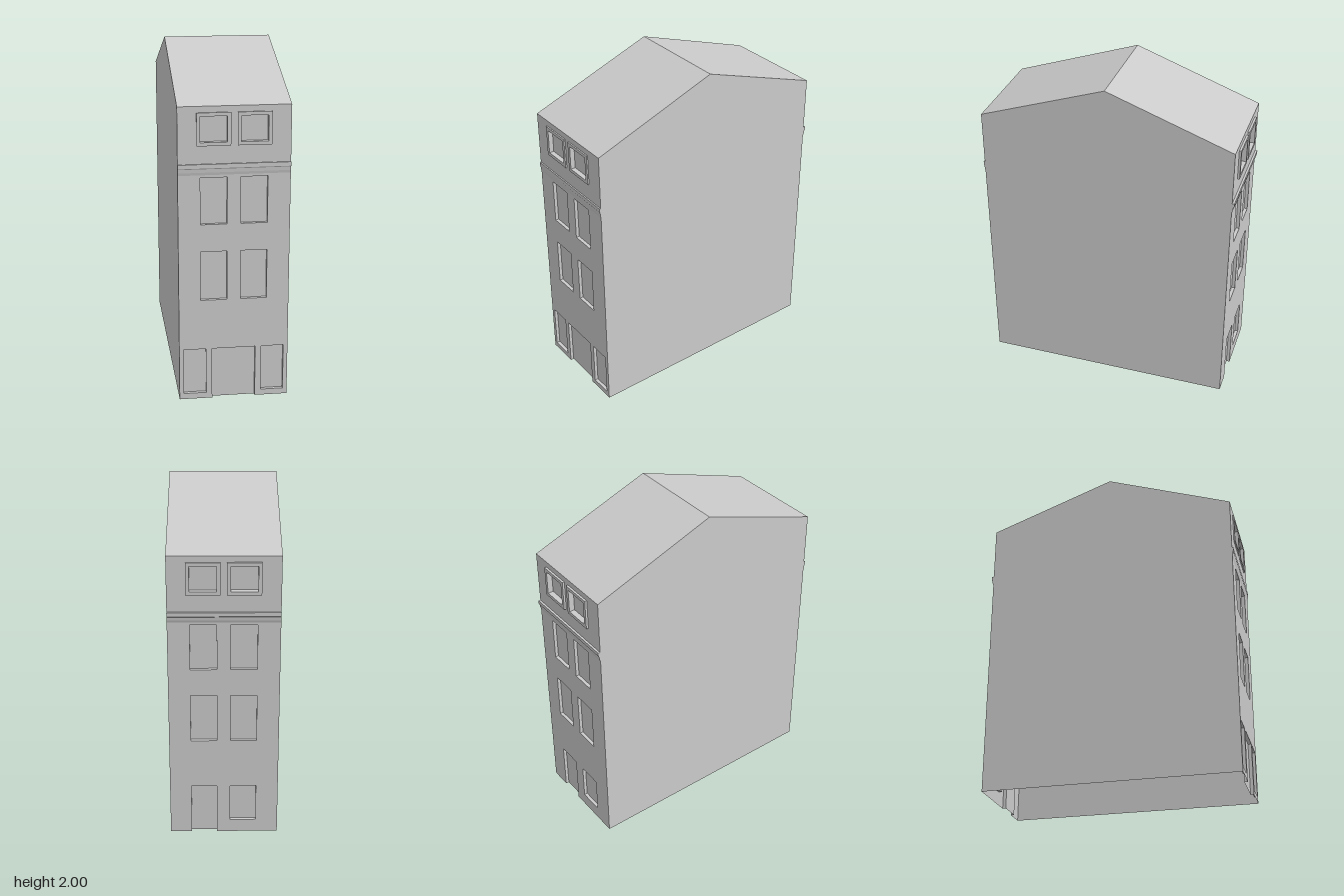
import * as THREE from 'three';

const W = 0.63, EAVE = 1.73, RIDGE = 2, RECESS = 0.02;
const mat = new THREE.MeshStandardMaterial({ color: 0xcccccc, flatShading: true, side: THREE.DoubleSide });

function add(parent, name, geometry) {
  const mesh = new THREE.Mesh(geometry, mat);
  mesh.name = name;
  parent.add(mesh);
  return mesh;
}

const corners = ([x0, x1, y0, y1]) => [[x0, y0], [x1, y0], [x1, y1], [x0, y1]].map(p => new THREE.Vector2(...p));
const polygon = points => new THREE.Shape(points.map(p => new THREE.Vector2(...p)));

// Shallow box without its front, and without a sill when it reaches the ground
function recessGeometry([x0, x1, y0, y1], wallZ) {
  const g = new THREE.BoxGeometry(x1 - x0, y1 - y0, RECESS);
  const index = Array.from(g.index.array);
  g.setIndex(index.filter((_, i) => !(i >= 24 && i < 30) && !(y0 === 0 && i >= 18 && i < 24)));
  g.clearGroups();
  g.translate((x0 + x1) / 2, (y0 + y1) / 2, wallZ - RECESS / 2);
  return g;
}

// Window frame standing proud of the wall
function frameGeometry([x0, x1, y0, y1], wallZ, depth) {
  const b = 0.02;
  const shape = new THREE.Shape(corners([x0 - b, x1 + b, y0 - b, y1 + b]));
  shape.holes.push(new THREE.Path(corners([x0, x1, y0, y1])));
  return new THREE.ExtrudeGeometry(shape, { depth, bevelEnabled: false }).translate(0, 0, wallZ);
}

// One street-side wall with its openings, cornice and half of the roof
function facade(name, wallZ, groundOpenings) {
  const group = new THREE.Group();
  group.name = name;
  const proud = 0.768 - wallZ;
  const columns = [[-0.19, -0.04], [0.037, 0.187]];
  const attic = columns.map(c => [...c, 1.53, 1.675]);
  const windows = [[0.61, 0.9], [1.06, 1.33]].flatMap(rows => columns.map(c => [...c, ...rows]));
  const doors = groundOpenings.filter(o => o[2] === 0);
  const shopWindows = groundOpenings.filter(o => o[2] > 0);

  // Wall outline steps around the door, windows are holes
  const outline = [[-W / 2, 0]];
  for (const [x0, x1, , top] of doors) outline.push([x0, 0], [x0, top], [x1, top], [x1, 0]);
  outline.push([W / 2, 0], [W / 2, EAVE], [-W / 2, EAVE]);
  const wall = polygon(outline);
  for (const o of [...shopWindows, ...windows, ...attic]) wall.holes.push(new THREE.Path(corners(o)));
  add(group, 'wall', new THREE.ShapeGeometry(wall).translate(0, 0, wallZ));

  for (const o of doors) add(group, 'door', recessGeometry(o, wallZ));
  for (const o of [...shopWindows, ...windows]) add(group, 'window', recessGeometry(o, wallZ));
  for (const o of attic) {
    add(group, 'atticWindow', recessGeometry(o, wallZ));
    add(group, 'atticFrame', frameGeometry(o, wallZ, proud));
  }

  // Moulded cornice across the whole width
  const cornice = polygon([[0, 1.345], [proud * 0.4, 1.36], [proud * 0.6, 1.38], [proud, 1.385], [proud, 1.408], [0, 1.408]]);
  add(group, 'cornice', new THREE.ExtrudeGeometry(cornice, { depth: W, bevelEnabled: false })
    .rotateY(-Math.PI / 2).translate(W / 2, 0, wallZ));

  // Roof slope from eave to ridge
  const rise = RIDGE - EAVE;
  add(group, 'roofSlope', new THREE.PlaneGeometry(W, Math.hypot(rise, wallZ))
    .rotateX(-Math.atan2(wallZ, rise)).translate(0, (EAVE + RIDGE) / 2, wallZ / 2));
  return group;
}

export function createModel() {
  const model = new THREE.Group();
  model.name = 'townHouse';
  const frontZ = 0.76, backZ = 0.755;

  model.add(facade('frontFacade', frontZ, [
    [-0.29, -0.16, 0.035, 0.31], [-0.125, 0.125, 0, 0.31], [0.16, 0.29, 0.035, 0.31],
  ]));
  const back = facade('backFacade', backZ, [[-0.19, -0.04, 0, 0.31], [0.037, 0.187, 0.08, 0.31]]);
  back.rotation.y = Math.PI;
  model.add(back);

  // Blank gable walls; the underside stays open
  const gable = polygon([[-backZ, 0], [frontZ, 0], [frontZ, EAVE], [0, RIDGE], [-backZ, EAVE]]);
  for (const [name, side] of [['leftGable', 1], ['rightGable', -1]]) {
    const g = new THREE.ShapeGeometry(gable).rotateY(-Math.PI / 2);
    if (side > 0) {
      // Turn the winding so the face looks outward
      const a = g.index.array;
      for (let i = 0; i < a.length; i += 3) [a[i], a[i + 1]] = [a[i + 1], a[i]];
      g.computeVertexNormals();
    }
    add(model, name, g.translate(side * W / 2, 0, 0));
  }
  return model;
}
